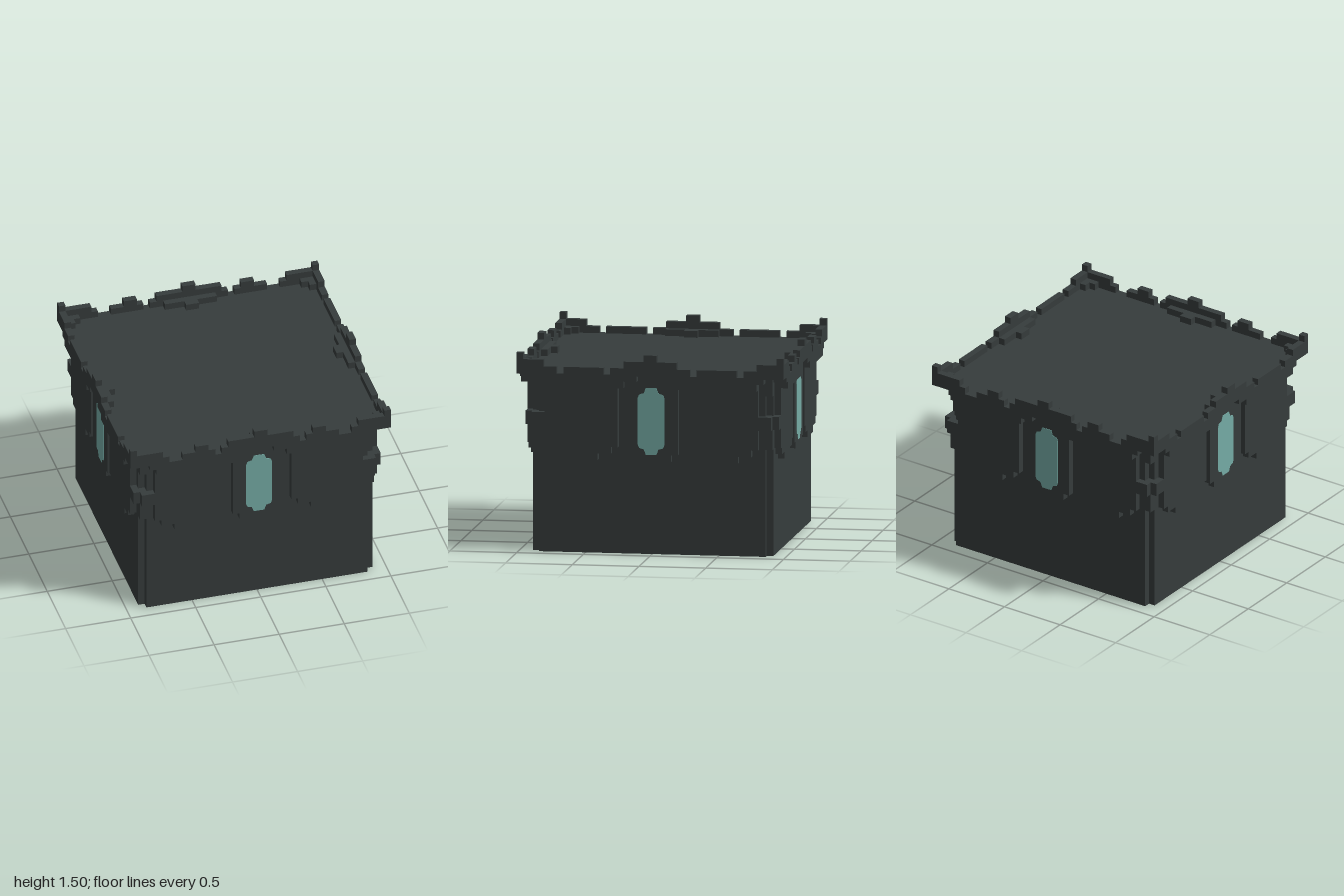
import * as THREE from 'three';

const stone = new THREE.MeshStandardMaterial({ color: 0x363c3c });
stone.name = 'dark slate';
const glass = new THREE.MeshStandardMaterial({ color: 0x75aca5 });
glass.name = 'pale teal';

function box(parent, name, x0, x1, y0, y1, z0, z1) {
  const m = new THREE.Mesh(new THREE.BoxGeometry(x1 - x0, y1 - y0, z1 - z0), stone);
  m.position.set((x0 + x1) / 2, (y0 + y1) / 2, (z0 + z1) / 2);
  m.name = name;
  parent.add(m);
}

// flat plate cut from an outline, standing between z0 and z1
function plate(parent, name, points, z0, z1, material = stone) {
  const shape = new THREE.Shape(points.map(([x, y]) => new THREE.Vector2(x, y)));
  const geo = new THREE.ExtrudeGeometry(shape, { depth: z1 - z0, bevelEnabled: false });
  geo.translate(0, 0, z0);
  const m = new THREE.Mesh(geo, material);
  m.name = name;
  parent.add(m);
}

const mirrorX = (pts) => pts.map(([x, y]) => [-x, y]).reverse();
const symmetric = (half) => [...half, ...mirrorX(half)];

// outlines of the right half, counter-clockwise
const DRAPE = [
  [0.25, 0.8], [0.3, 0.8], [0.3, 0.75], [0.4, 0.75], [0.4, 0.7], [0.65, 0.7], [0.65, 0.75],
  [0.75, 0.75], [0.75, 0.8], [0.8, 0.8], [0.8, 0.95], [0.9, 0.95], [0.9, 1.05], [0.8, 1.05],
  [0.8, 1.3], [0.25, 1.3],
];
const FRAME = symmetric([[0.15, 0.7], [0.15, 0.75], [0.2, 0.75], [0.2, 1.35]]);
const CORNICE = symmetric([
  [0.1, 1.35], [0.1, 1.3], [0.2, 1.3], [0.2, 1.25], [0.8, 1.25], [0.8, 1.3], [0.85, 1.3], [0.85, 1.35],
]).map(([x, y]) => [x, y]);
const PANE = symmetric([
  [0.04, 0.75], [0.055, 0.79], [0.09, 0.8], [0.1, 0.825],
  [0.1, 1.175], [0.09, 1.2], [0.055, 1.21], [0.04, 1.25],
]);

// roof-edge blocks: start, end, top
const FRONT_BLOCKS = [
  [0, 0.05, 1.5], [0.05, 0.25, 1.45], [0.25, 0.3, 1.4], [0.35, 0.4, 1.4], [0.4, 0.5, 1.45],
  [0.5, 0.6, 1.4], [0.7, 0.75, 1.4], [0.75, 0.95, 1.45], [0.95, 1, 1.5],
];
const SIDE_BLOCKS = [
  [0, 0.05, 1.5], [0.05, 0.2, 1.45], [0.2, 0.3, 1.4], [0.35, 0.65, 1.4],
  [0.7, 0.8, 1.4], [0.8, 0.95, 1.45], [0.95, 1, 1.5],
];

function makeSide(name, blocks) {
  const side = new THREE.Group();
  side.name = name;
  plate(side, 'leftDrape', DRAPE, 0.88, 0.95);
  plate(side, 'rightDrape', mirrorX(DRAPE), 0.88, 0.95);
  plate(side, 'windowFrame', FRAME, 0.88, 0.95);
  plate(side, 'windowPane', PANE, 0.948, 0.953, glass);
  plate(side, 'cornice', CORNICE, 0.88, 1);
  // crenellated rim
  for (const [a, b, top] of blocks) {
    box(side, 'rimBlock', a, b, 1.34, top, 0.95, 1);
    box(side, 'rimBlock', -b, -a, 1.34, top, 0.95, 1);
  }
  // thicker backing at the middle and corners of the rim
  box(side, 'rimBacking', -0.2, 0.2, 1.34, 1.4, 0.9, 0.96);
  box(side, 'rimCrest', -0.05, 0.05, 1.34, 1.4, 0.85, 0.96);
  for (const s of [-0.9, 0.9]) box(side, 'cornerBacking', s - 0.05, s + 0.05, 1.34, 1.4, 0.9, 0.96);
  return side;
}

export function createModel() {
  const model = new THREE.Group();
  model.name = 'crenellatedBlock';

  // body with notched corners
  box(model, 'bodyDeep', -0.85, 0.85, 0, 1.345, -0.9, 0.9);
  box(model, 'bodyWide', -0.9, 0.9, 0, 1.345, -0.85, 0.85);
  // corner fills above and below the open groove
  for (const sx of [-0.875, 0.875]) {
    for (const sz of [-0.875, 0.875]) {
      for (const [y0, y1] of [[0.8, 1.05], [1.2, 1.345]]) {
        box(model, 'cornerFill', sx - 0.025, sx + 0.025, y0, y1, sz - 0.025, sz + 0.025);
      }
    }
  }
  box(model, 'roof', -1, 1, 1.34, 1.35, -1, 1);

  // four decorated sides
  ['frontSide', 'leftSide', 'backSide', 'rightSide'].forEach((name, i) => {
    const side = makeSide(name, i % 2 ? SIDE_BLOCKS : FRONT_BLOCKS);
    side.rotation.y = (i * Math.PI) / 2;
    model.add(side);
  });
  return model;
}
